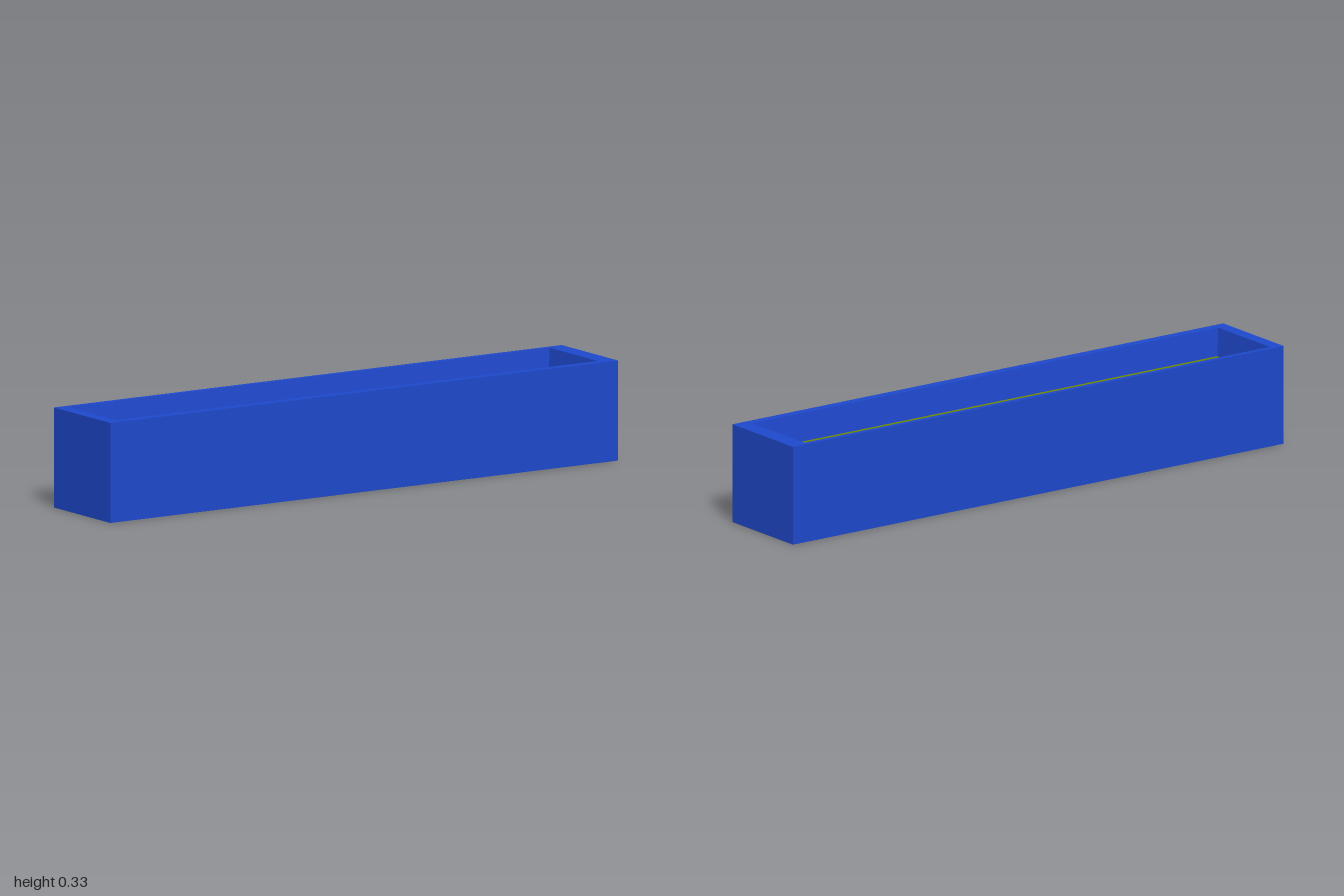
import * as THREE from 'three';

// Corners of a level rectangle, counter-clockwise seen from above
const ring = (x0, x1, z0, z1, y) => [[x0, y, z1], [x1, y, z1], [x1, y, z0], [x0, y, z0]];

// Flat-sided skin through successive rectangles, with optional end caps
function loft(name, rings, color, { capStart = false, capEnd = false }) {
  const pos = [];
  const quad = (a, b, c, d) => pos.push(...a, ...b, ...c, ...a, ...c, ...d);
  for (let r = 0; r < rings.length - 1; r++) {
    const [low, high] = [rings[r], rings[r + 1]];
    for (let i = 0; i < 4; i++) {
      const j = (i + 1) % 4;
      quad(low[i], low[j], high[j], high[i]);
    }
  }
  if (capStart) quad(...[...rings[0]].reverse());
  if (capEnd) quad(...rings[rings.length - 1]);
  const geo = new THREE.BufferGeometry();
  geo.setAttribute('position', new THREE.Float32BufferAttribute(pos, 3));
  geo.computeVertexNormals();
  const mesh = new THREE.Mesh(geo, new THREE.MeshStandardMaterial({ color, side: THREE.DoubleSide }));
  mesh.name = name;
  return mesh;
}

export function createModel() {
  const group = new THREE.Group();
  group.name = 'trough';

  const H = 0.333, D = 0.1665;
  // Cavity walls lean in slightly towards the floor
  const top = [-0.957, 0.94, -0.148, 0.136, H];
  const floor = [-0.937, 0.92, -0.127, 0.116, 0.15];
  const cavity = (t) => ring(...top.map((v, i) => v + (floor[i] - v) * t));
  const seam = 0.51;

  // Outer box, rim and upper band of the cavity
  group.add(loft('troughShell',
    [ring(-1, 1, -D, D, 0), ring(-1, 1, -D, D, H), cavity(0), cavity(seam)],
    0x1e48cc, { capStart: true }));

  // Lower cavity walls and floor
  group.add(loft('cavityLining', [cavity(seam), cavity(1)], 0x799500, { capEnd: true }));

  return group;
}
